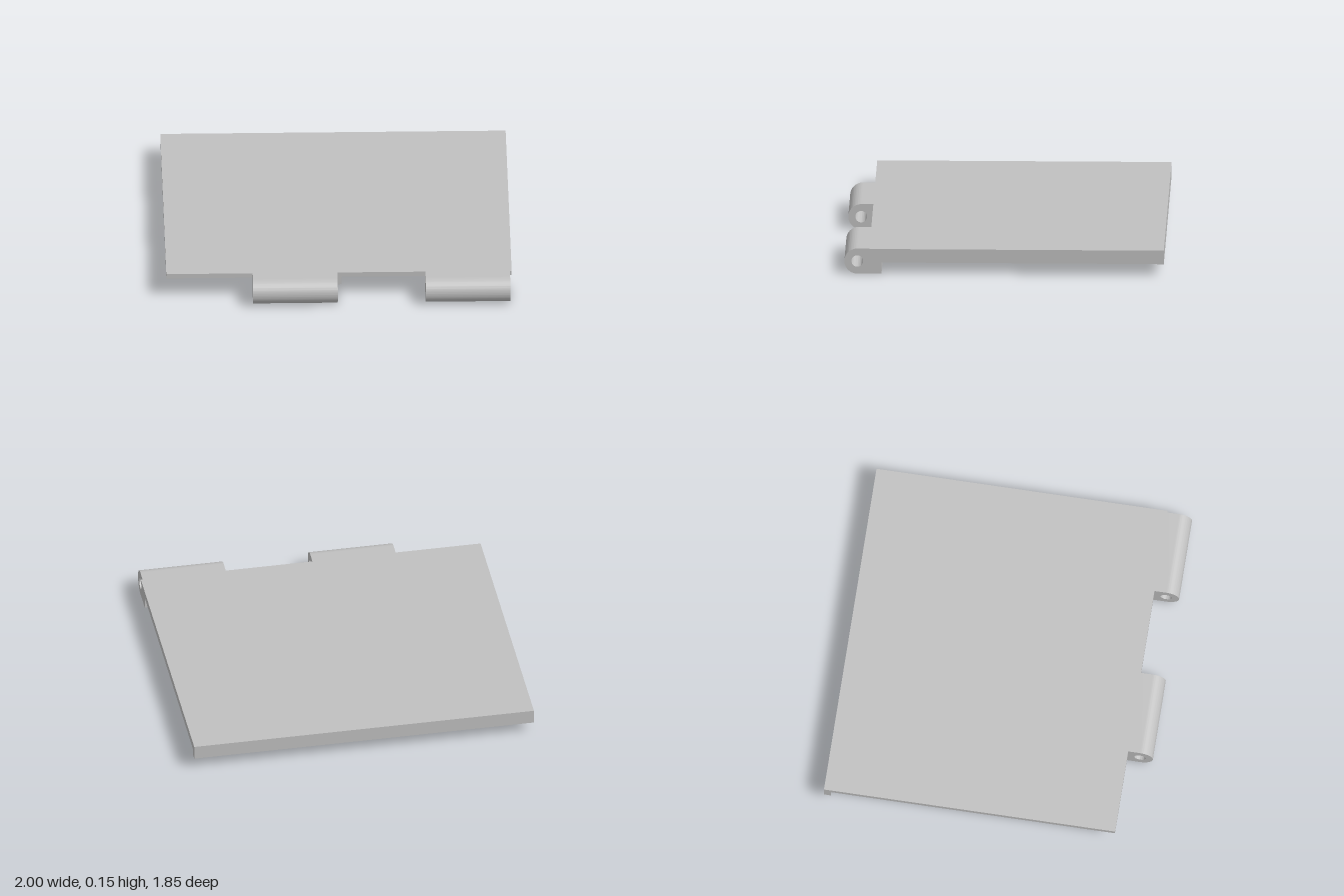
import * as THREE from 'three';
import { toCreasedNormals } from 'three/addons/utils/BufferGeometryUtils.js';

export function createModel() {
  const group = new THREE.Group();
  const metal = new THREE.MeshStandardMaterial({ color: 0xc0c0c0 });
  metal.name = 'light grey';

  function add(name, geometry) {
    const mesh = new THREE.Mesh(geometry, metal);
    mesh.name = name;
    group.add(mesh);
    return mesh;
  }

  // Box given by its minimum and maximum on each axis
  function addBox(name, [x0, x1], [y0, y1], [z0, z1]) {
    add(name, new THREE.BoxGeometry(x1 - x0, y1 - y0, z1 - z0))
      .position.set((x0 + x1) / 2, (y0 + y1) / 2, (z0 + z1) / 2);
  }

  // Flat leaf with a downturned lip along the back
  addBox('leafPlate', [-1, 1], [0.122, 0.15], [-0.885, 0.78]);
  addBox('backLip', [-1, 1], [0.067, 0.15], [-0.925, -0.885]);

  // Knuckle section, drawn with shape x = z and extruded sideways
  const centre = 0.85, radius = 0.075;
  const section = new THREE.Shape();
  section.moveTo(0.71, 0);
  section.lineTo(centre, 0);
  section.absarc(centre, radius, radius, -Math.PI / 2, Math.PI / 2, false);
  section.lineTo(0.71, 0.15);
  section.closePath();
  const pinHole = new THREE.Path();
  pinHole.absarc(centre, radius, 0.034, 0, Math.PI * 2, true);
  section.holes.push(pinHole);

  const width = 0.49;
  const knuckle = toCreasedNormals(
    new THREE.ExtrudeGeometry(section, { depth: width, bevelEnabled: false, curveSegments: 32 }), 0.6);
  knuckle.rotateY(-Math.PI / 2); // shape x -> +z, depth -> -x

  // Each knuckle has a stiffening rib beside its left end
  for (const [side, end, ribStart, ribFront] of [['middle', -0.01, -0.01, 0.77], ['left', 0.99, 0.965, 0.72]]) {
    add(side + 'Knuckle', knuckle).position.x = end;
    addBox(side + 'Rib', [ribStart, ribStart + 0.025], [0.067, 0.122], [-0.885, ribFront]);
  }
  return group;
}
